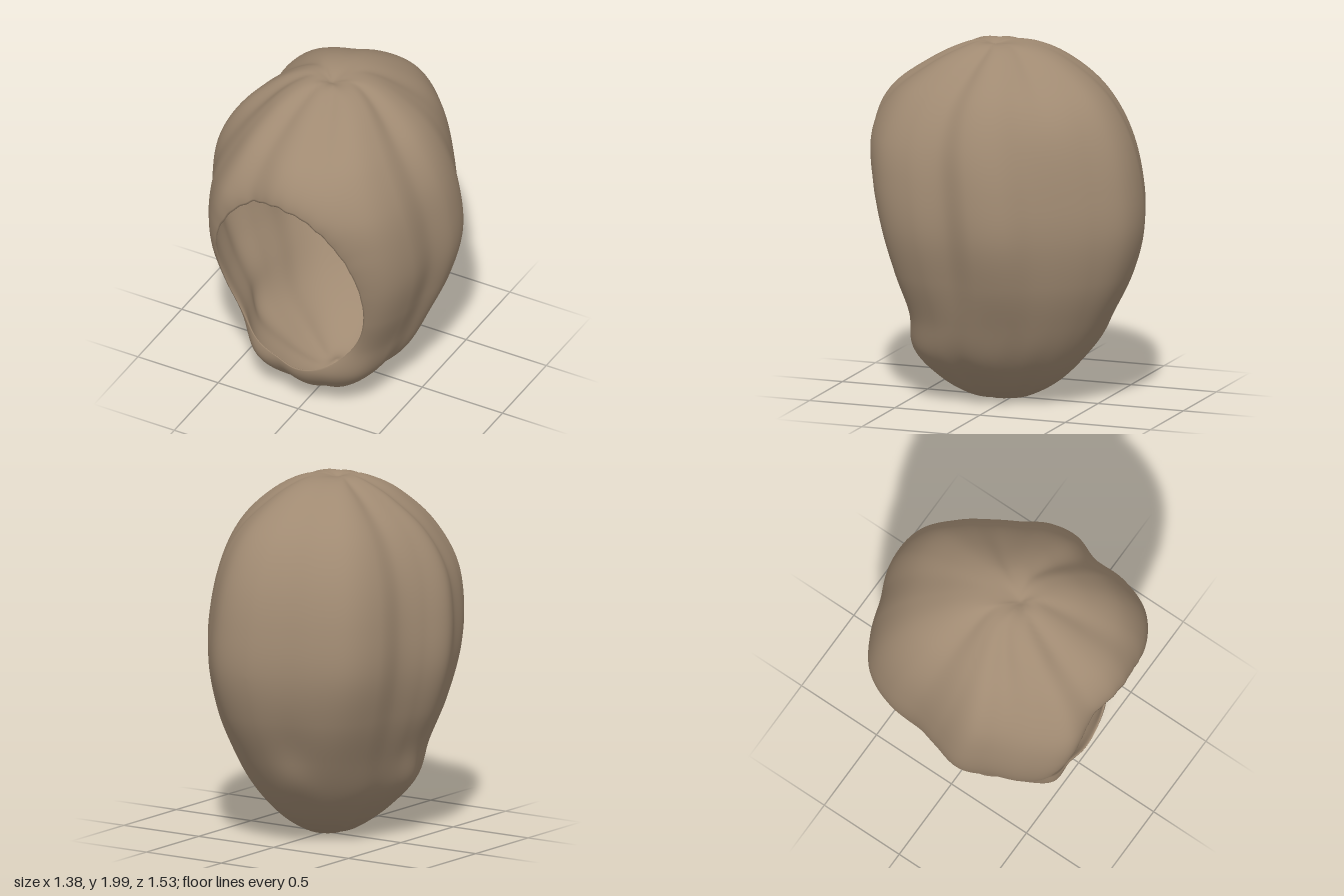
import * as THREE from 'three';

const RAD = Math.PI / 180;

// Profiles every 15 degrees from the top pole to the bottom pole
const HALF_WIDTH = [0, .19, .37, .53, .635, .685, .688, .62, .515, .42, .27, .12, 0];
const BACK_Z = [.11, -.16, -.375, -.565, -.69, -.755, -.768, -.7, -.575, -.435, -.28, -.1, .06];
const FRONT_Z = [.11, .27, .49, .7, .79, .78, .735, .67, .585, .55, .41, .24, .06];

// Lobed cross-section: radius every 15 degrees, from the front towards the left
const LOBES = [.77, .775, .785, .785, .725, .655, .685, .675, .635, .65, .7, .77,
  .765, .72, .73, .74, .695, .63, .65, .715, .71, .765, .82, .757];
// Creases that gather at both poles, in degrees
const CREASES = [20, 80, 135, 250, 295, 340];
// Soft swellings and dents: azimuth, polar angle, width, height
const BUMPS = [
  [318, 42, 22, -.12], [45, 42, 22, -.06], [135, 48, 18, .05],
  [78, 122, 12, .04], [196, 116, 12, -.03], [196, 127, 10, .03],
  [280, 119, 10, -.02], [280, 131, 10, .04],
];

const bell = (x) => Math.exp(-x * x);
const angleBetween = (a, b) => Math.abs(((a - b + 540) % 360) - 180);

// Smooth interpolation in an evenly spaced table
function sample(table, f, closed) {
  const n = table.length, i = Math.floor(f), t = f - i;
  const at = (k) => table[closed ? (k + n) % n : Math.min(Math.max(k, 0), n - 1)];
  const a = at(i - 1), b = at(i), c = at(i + 1), d = at(i + 2);
  return b + .5 * t * (c - a + t * (2 * a - 5 * b + 4 * c - d + t * (3 * (b - c) + d - a)));
}

// Point of the outer skin, in a direction given by s (from the front) and phi
function skin(s, phi) {
  const dx = Math.sin(s) * Math.cos(phi);
  const dy = Math.sin(s) * Math.sin(phi);
  const dz = Math.cos(s);
  const polar = Math.acos(THREE.MathUtils.clamp(dy, -1, 1));
  const az = (Math.atan2(dx, dz) / RAD + 360) % 360;
  const row = polar / RAD / 15;

  // creases and bumps
  let gather = 1;
  const depth = .15 * bell(polar / .65) + .11 * bell((Math.PI - polar) / .5);
  for (const crease of CREASES) gather *= 1 - depth * bell(angleBetween(az, crease) / 10);
  for (const [a, p, width, height] of BUMPS) {
    gather += height * bell(angleBetween(az, a) * Math.sin(polar) / width) * bell((polar / RAD - p) / width);
  }

  // lobes fade into a plain oval towards the lower back
  const lobe = sample(LOBES, az / 15, true);
  const plain = .75 * THREE.MathUtils.smoothstep(polar, 1.5, 2.3) * (.5 - .5 * Math.cos(az * RAD));
  const ux = THREE.MathUtils.lerp(lobe / .69, 1, plain) * gather * Math.sin(az * RAD);
  const uz = THREE.MathUtils.lerp(lobe / .77, 1, plain) * gather * Math.cos(az * RAD);

  const back = sample(BACK_Z, row), front = sample(FRONT_Z, row);
  const dimple = .04 * bell(Math.min(polar, Math.PI - polar) / .12);
  return new THREE.Vector3(
    ux * sample(HALF_WIDTH, row),
    1 + dy * (1.014 - dimple),
    (front + back) / 2 + uz * (front - back) / 2
  );
}

// Angle s at which the skin meets the oval opening
function rimAngle(phi) {
  let lo = 0, hi = Math.PI / 2;
  const ragged = 1 + Math.max(0, Math.sin(phi) + .3) * (.003 * Math.sin(phi * 17) + .004 * Math.sin(phi * 29 + 1));
  for (let i = 0; i < 30; i++) {
    const mid = (lo + hi) / 2, p = skin(mid, phi);
    if (Math.hypot(p.x / .45, (p.y - .923) / .628) < ragged) lo = mid;
    else hi = mid;
  }
  return hi;
}

// One closed-walled shell: inner back -> rim -> outer back
function shellGeometry() {
  const cols = 220, inner = 60, outer = 110, rows = inner + outer;
  const centre = new THREE.Vector3(0, 1, .03);
  const positions = [], index = [];
  const rims = Array.from({ length: cols }, (_, j) => rimAngle(j / cols * 2 * Math.PI));

  for (let i = 0; i <= rows; i++) {
    const inside = i < inner;
    const f = inside ? 1 - i / inner : (i - inner) / outer;
    for (let j = 0; j < cols; j++) {
      const phi = j / cols * 2 * Math.PI;
      const away = (Math.PI - rims[j]) * Math.pow(f, 1.15);
      const p = skin(rims[j] + away, phi);
      // the lip rolls in slightly, the inner wall lies under the skin
      let inset = .02 * Math.exp(-away / .06);
      if (inside) inset += .03 * (1 - Math.exp(-away / .03));
      p.sub(centre);
      p.setLength(p.length() - inset).add(centre);
      positions.push(p.x, p.y, p.z);
    }
  }
  for (let i = 0; i < rows; i++) {
    for (let j = 0; j < cols; j++) {
      const k = (j + 1) % cols;
      const a = i * cols + j, b = a + cols, c = (i + 1) * cols + k, d = i * cols + k;
      index.push(a, b, c, a, c, d);
    }
  }

  const geometry = new THREE.BufferGeometry();
  geometry.setAttribute('position', new THREE.Float32BufferAttribute(positions, 3));
  geometry.setIndex(index);
  geometry.computeVertexNormals();
  return geometry;
}

export function createModel() {
  const group = new THREE.Group();
  group.name = 'hollowPod';
  const material = new THREE.MeshStandardMaterial({ color: 0xa08a72 });
  const shell = new THREE.Mesh(shellGeometry(), material);
  shell.name = 'podShell';
  group.add(shell);
  return group;
}
